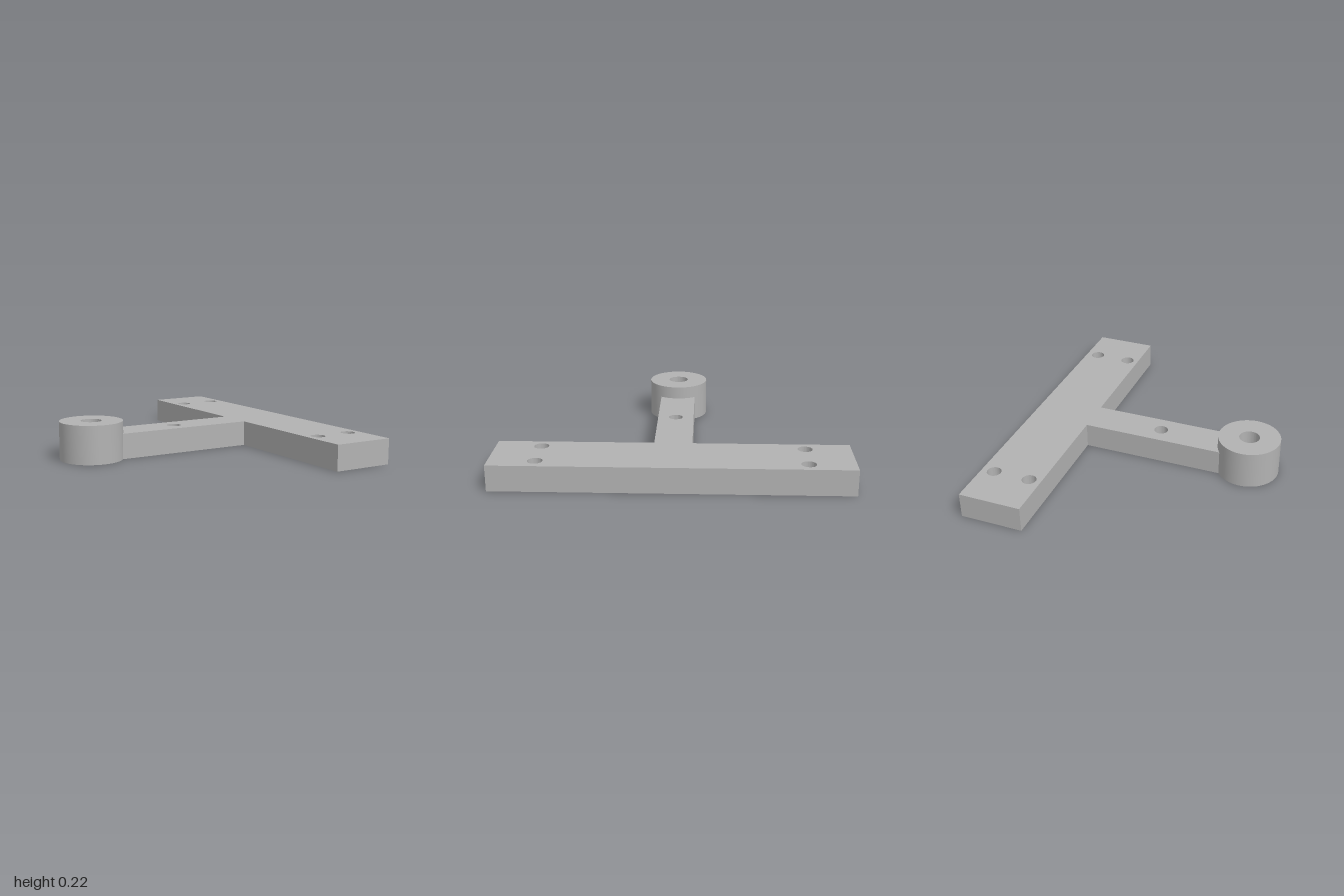
import * as THREE from 'three';
import { toCreasedNormals } from 'three/addons/utils/BufferGeometryUtils.js';

const PLATE_HEIGHT = 0.15, BOSS_HEIGHT = 0.225;
const BOSS_X = -0.594, BOSS_R = 0.185, BORE_R = 0.061;
const ARM_HALF = 0.109, BAR_IN = 0.407, BAR_OUT = 0.779;
const SCREW_R = 0.042;

function addHole(shape, x, y, r) {
  const hole = new THREE.Path();
  hole.absarc(x, y, r, 0, Math.PI * 2, true);
  shape.holes.push(hole);
}

// Extrudes a plan outline upwards from y = 0, with smooth round walls
function extrudeUp(shape, height, material, name) {
  const geometry = new THREE.ExtrudeGeometry(shape, { depth: height, bevelEnabled: false, curveSegments: 32 });
  geometry.rotateX(-Math.PI / 2);
  const mesh = new THREE.Mesh(toCreasedNormals(geometry, Math.PI / 6), material);
  mesh.name = name;
  return mesh;
}

export function createModel() {
  const group = new THREE.Group();
  group.name = 'tBracket';
  const metal = new THREE.MeshStandardMaterial({ color: 0xb2b2b2 });
  metal.name = 'grey metal';

  // T-shaped plate: crossbar and arm, the arm's end hollowed to fit the boss
  const plate = new THREE.Shape();
  const angle = Math.asin(ARM_HALF / BOSS_R);
  plate.moveTo(BAR_IN, -ARM_HALF);
  plate.lineTo(BAR_IN, -1);
  plate.lineTo(BAR_OUT, -1);
  plate.lineTo(BAR_OUT, 1);
  plate.lineTo(BAR_IN, 1);
  plate.lineTo(BAR_IN, ARM_HALF);
  plate.absarc(BOSS_X, 0, BOSS_R, angle, -angle, true);
  plate.closePath();

  // Screw holes: a pair at each end of the crossbar, one in the arm
  for (const side of [-1, 1]) {
    for (const x of [0.48, 0.702]) addHole(plate, x, side * 0.741, SCREW_R);
  }
  addHole(plate, -0.04, 0, SCREW_R);
  group.add(extrudeUp(plate, PLATE_HEIGHT, metal, 'mountingPlate'));

  // Taller round boss with a through bore
  const boss = new THREE.Shape();
  boss.absarc(BOSS_X, 0, BOSS_R, 0, Math.PI * 2, false);
  addHole(boss, BOSS_X, 0, BORE_R);
  group.add(extrudeUp(boss, BOSS_HEIGHT, metal, 'pivotBoss'));

  return group;
}
